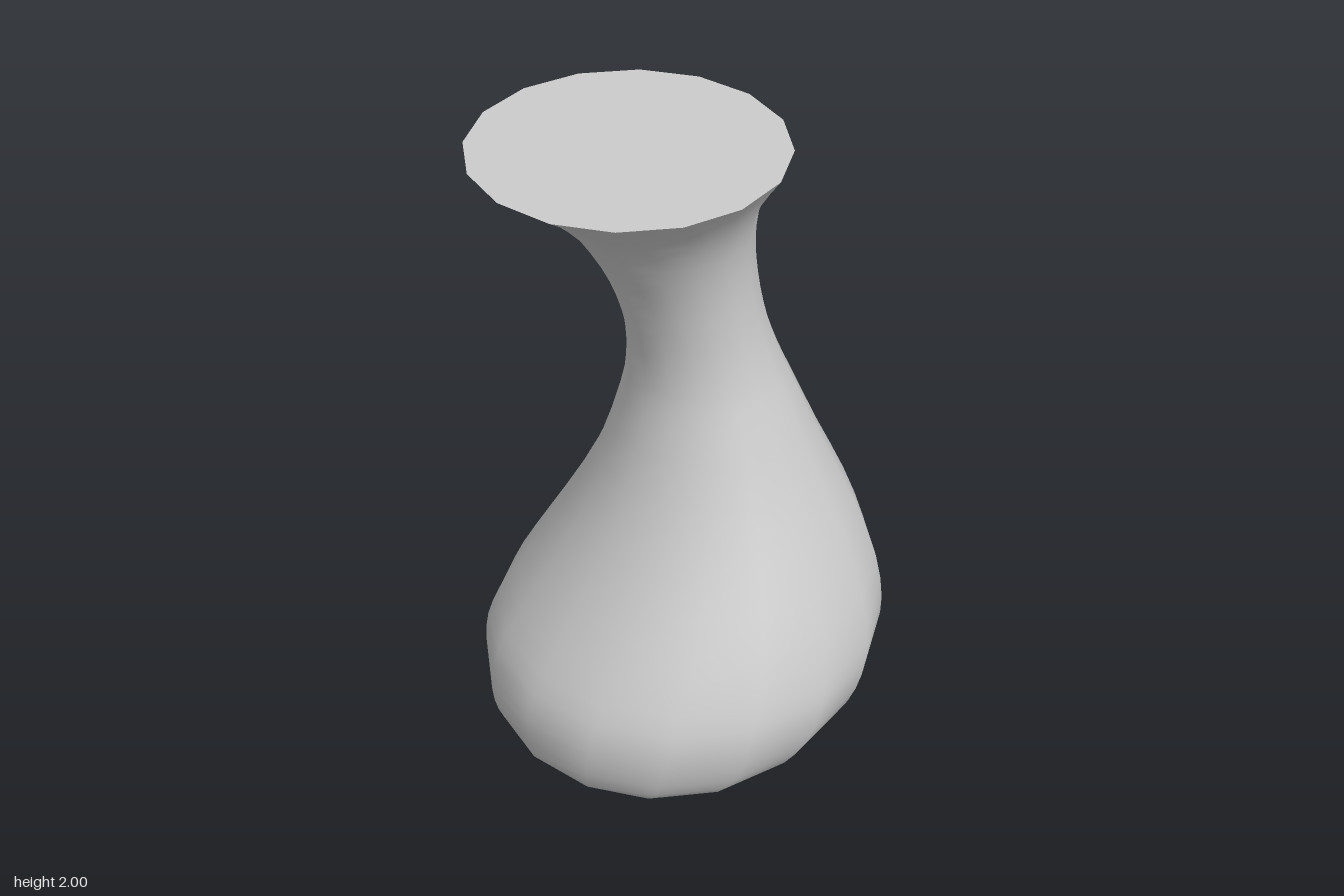
import * as THREE from 'three';

const SIDES = 16;

// Horizontal sections from base to rim: [height, min x, max x, half depth]
const SECTIONS = [
  [0, -0.15, -0.13, 0.01],
  [0.004, -0.3, 0.02, 0.16],
  [0.02, -0.4, 0.16, 0.29],
  [0.05, -0.49, 0.275, 0.4],
  [0.1, -0.555, 0.38, 0.485],
  [0.16, -0.588, 0.465, 0.54],
  [0.25, -0.604, 0.543, 0.573],
  [0.35, -0.593, 0.585, 0.583],
  [0.45, -0.55, 0.6, 0.562],
  [0.6, -0.455, 0.578, 0.504],
  [0.8, -0.332, 0.505, 0.41],
  [1.0, -0.235, 0.412, 0.322],
  [1.2, -0.172, 0.325, 0.25],
  [1.3, -0.155, 0.282, 0.22],
  [1.4, -0.157, 0.247, 0.204],
  [1.5, -0.175, 0.22, 0.202],
  [1.6, -0.208, 0.202, 0.21],
  [1.7, -0.26, 0.192, 0.232],
  [1.8, -0.33, 0.196, 0.27],
  [1.9, -0.432, 0.225, 0.335],
  [2.0, -0.58, 0.28, 0.43],
];

// Smooth leaning skin lofted through elliptical rings
function bodyGeometry() {
  const spline = (k) => new THREE.CatmullRomCurve3(
    SECTIONS.map((s) => new THREE.Vector3(s[k], s[0], s[3])), false, 'catmullrom', 0.5);
  const minSide = spline(1), maxSide = spline(2);
  const steps = (SECTIONS.length - 1) * 2;
  const positions = [], index = [];
  for (let i = 0; i <= steps; i++) {
    const a = minSide.getPoint(i / steps), b = maxSide.getPoint(i / steps);
    for (let j = 0; j < SIDES; j++) {
      const t = (j / SIDES) * Math.PI * 2;
      positions.push(
        (a.x + b.x) / 2 + Math.cos(t) * (b.x - a.x) / 2,
        Math.max(0, a.y),
        Math.sin(t) * a.z);
      if (i === steps) continue;
      const k = (j + 1) % SIDES, lo = i * SIDES, hi = lo + SIDES;
      index.push(lo + j, hi + j, lo + k, lo + k, hi + j, hi + k);
    }
  }
  // Close the small hole under the base
  const centre = positions.length / 3;
  positions.push(-0.14, 0, 0);
  for (let j = 0; j < SIDES; j++) index.push(centre, j, (j + 1) % SIDES);

  const geometry = new THREE.BufferGeometry();
  geometry.setAttribute('position', new THREE.Float32BufferAttribute(positions, 3));
  geometry.setIndex(index);
  geometry.computeVertexNormals();
  return geometry;
}

export function createModel() {
  const group = new THREE.Group();
  group.name = 'leaningVase';
  const material = new THREE.MeshStandardMaterial({ color: 0xcccccc });

  const body = new THREE.Mesh(bodyGeometry(), material);
  body.name = 'body';

  // Flat disc closing the flared rim
  const lid = new THREE.Mesh(new THREE.CircleGeometry(0.43, SIDES).rotateX(-Math.PI / 2), material);
  lid.name = 'topCap';
  lid.position.set(-0.15, 2, 0);

  group.add(body, lid);
  return group;
}
